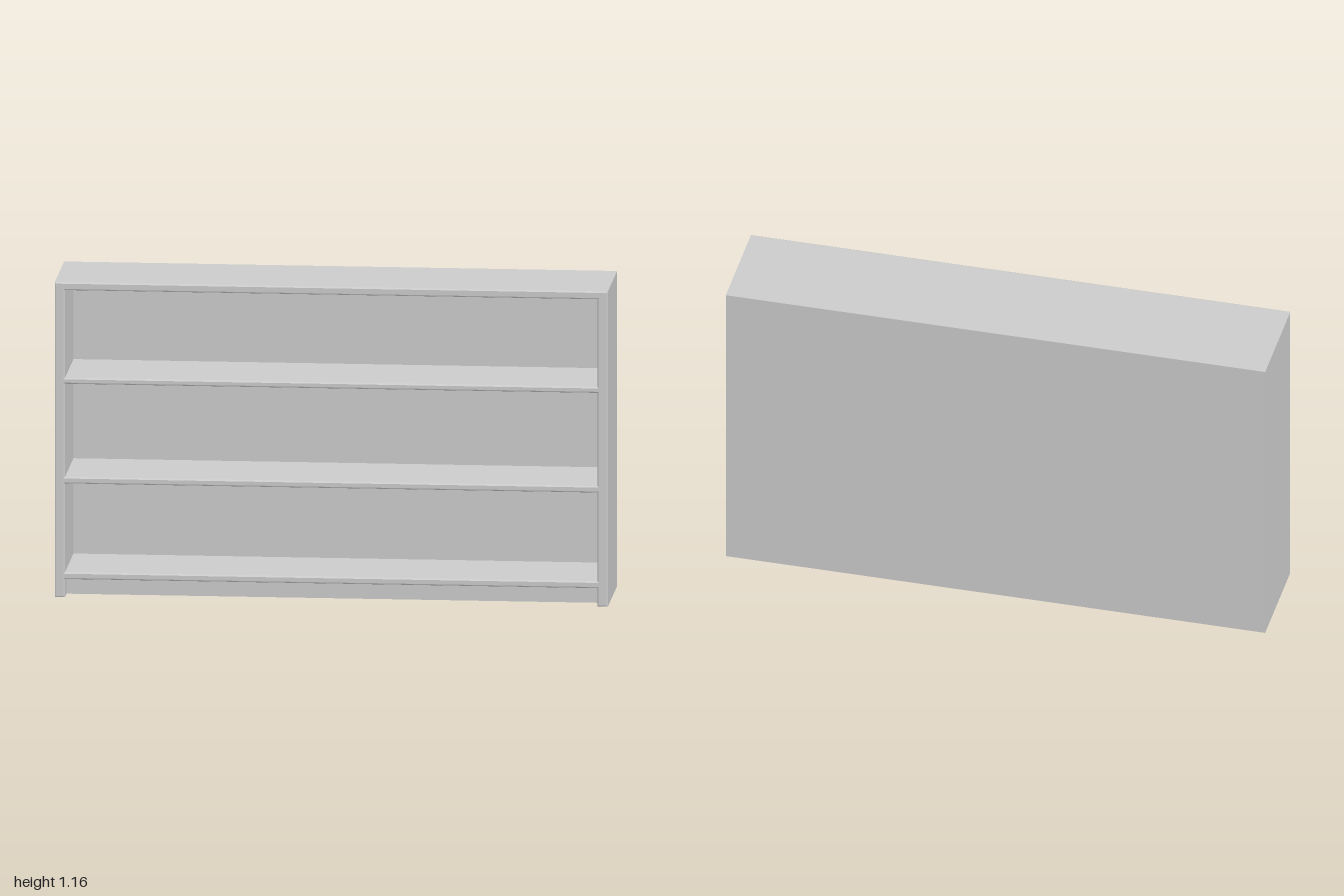
import * as THREE from 'three';

const HEIGHT = 1.157, HALF_W = 1, HALF_D = 0.193;
const INNER_X = 0.963, BOARD = 0.035, EASE = 0.005;

const rectPoints = (x, y0, y1) => [
  new THREE.Vector2(-x, y0), new THREE.Vector2(-x, y1),
  new THREE.Vector2(x, y1), new THREE.Vector2(x, y0),
];

export function createModel() {
  const group = new THREE.Group();
  const material = new THREE.MeshStandardMaterial({ color: 0xcccccc });

  const add = (name, geometry, x, y, z) => {
    const mesh = new THREE.Mesh(geometry, material);
    mesh.name = name;
    mesh.position.set(x, y, z);
    group.add(mesh);
  };

  // Sides, top and shelves: front outline with the toe recess cut from below
  const outline = new THREE.Shape();
  outline.moveTo(-HALF_W, 0);
  outline.lineTo(-INNER_X, 0);
  outline.lineTo(-INNER_X, 0.067);
  outline.lineTo(INNER_X, 0.067);
  outline.lineTo(INNER_X, 0);
  outline.lineTo(HALF_W, 0);
  outline.lineTo(HALF_W, HEIGHT);
  outline.lineTo(-HALF_W, HEIGHT);
  outline.closePath();

  // Three open compartments
  for (const [bottom, top] of [[0.092, 0.418], [0.442, 0.784], [0.806, 1.128]]) {
    outline.holes.push(new THREE.Path(rectPoints(INNER_X, bottom, top)));
  }

  // Eased front edges; the rear bevel is buried in the back panel
  const rear = -HALF_D + 0.02;
  const carcass = new THREE.ExtrudeGeometry(outline, {
    depth: HALF_D - rear - 2 * EASE,
    bevelEnabled: true,
    bevelThickness: EASE,
    bevelSize: EASE,
    bevelOffset: -EASE,
    bevelSegments: 2,
  });
  add('carcassWithShelves', carcass, 0, 0, rear + EASE);

  // Full-size back panel
  add('backPanel', new THREE.BoxGeometry(2 * HALF_W, HEIGHT, BOARD),
    0, HEIGHT / 2, -HALF_D + BOARD / 2);

  // Recessed plinth board under the bottom shelf
  add('toeKick', new THREE.BoxGeometry(2 * INNER_X, 0.07, 0.03), 0, 0.035, 0.107);

  return group;
}
